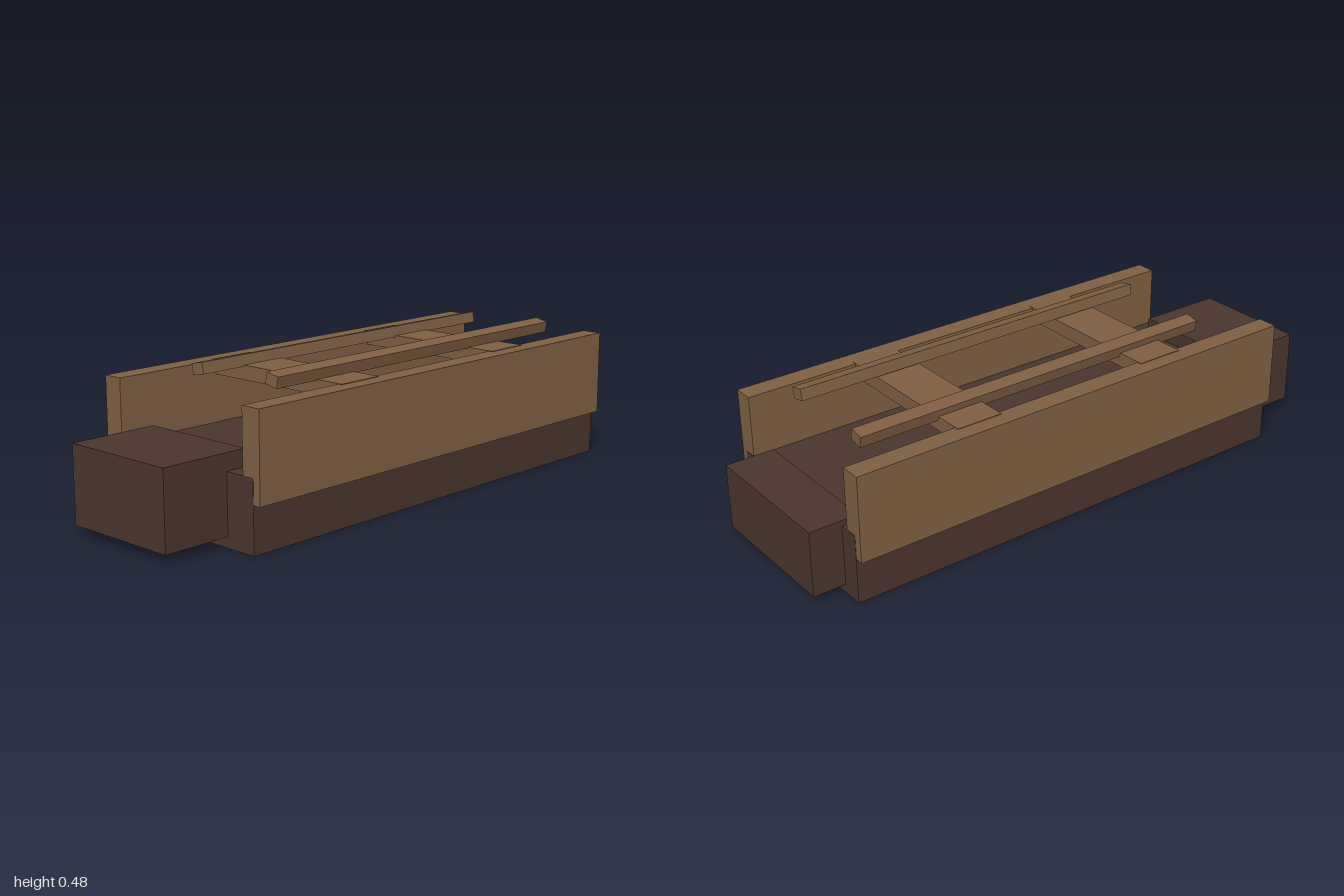
import * as THREE from 'three';

export function createModel() {
  const model = new THREE.Group();
  const darkWood = new THREE.MeshStandardMaterial({ color: 0x4a352d });
  darkWood.name = 'dark wood';
  const lightWood = new THREE.MeshStandardMaterial({ color: 0x7f5f42 });
  lightWood.name = 'light wood';

  // Box given by its extents on each axis
  function block(name, material, [x0, x1], [y0, y1], [z0, z1], tilt = 0) {
    const mesh = new THREE.Mesh(new THREE.BoxGeometry(x1 - x0, y1 - y0, z1 - z0), material);
    mesh.position.set((x0 + x1) / 2, (y0 + y1) / 2, (z0 + z1) / 2);
    mesh.rotation.z = tilt;
    mesh.name = name;
    model.add(mesh);
  }

  // Hull with bow and stern blocks
  block('hull', darkWood, [-0.316, 0.316], [0, 0.231], [-0.891, 0.766]);
  block('bowBlock', darkWood, [-0.206, 0.206], [0.035, 0.287], [0.695, 1]);
  block('sternBlock', darkWood, [-0.247, 0.247], [0.03, 0.249], [-1, -0.835]);

  // Side walls
  block('leftWall', lightWood, [0.273, 0.343], [0.151, 0.436], [-0.89, 0.765]);
  block('rightWall', lightWood, [-0.343, -0.273], [0.151, 0.436], [-0.89, 0.765]);

  // Cross benches, resting a hair above the wall tops
  block('rearBench', lightWood, [-0.289, 0.289], [0.39, 0.438], [-0.505, -0.345]);
  block('frontBench', lightWood, [-0.289, 0.289], [0.39, 0.438], [0.212, 0.375]);

  // Long tilted poles lying on the benches
  block('leftPole', lightWood, [0.1405, 0.1895], [0.439, 0.477], [-0.78, 0.545], -0.2);
  block('rightPole', lightWood, [-0.1905, -0.1415], [0.428, 0.466], [-0.78, 0.545], 0.2);

  return model;
}
